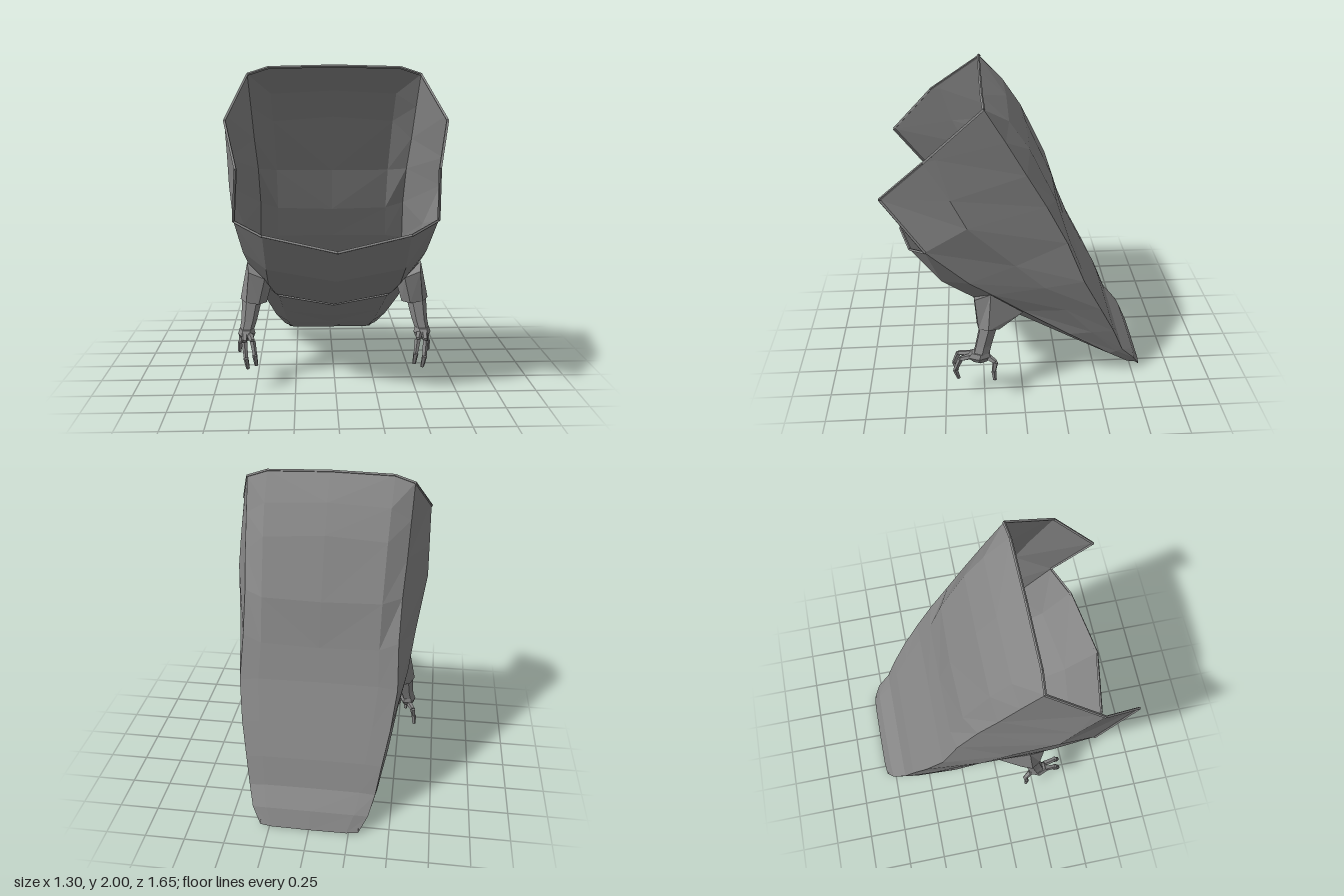
import * as THREE from 'three';

const material = new THREE.MeshStandardMaterial({ color: 0x858585, flatShading: true, side: THREE.DoubleSide });
const V = (x, y, z) => new THREE.Vector3(x, y, z);

function addMesh(parent, name, geometry) {
  const mesh = new THREE.Mesh(geometry, material);
  mesh.name = name;
  parent.add(mesh);
  return mesh;
}

// Faceted sheet through rows of [x, y, z] points; flip turns it over, capped closes both end rings
function loft(rows, { flip = false, capped = false } = {}) {
  const pos = [];
  const tri = (a, b, c) => (flip ? pos.push(...a, ...c, ...b) : pos.push(...a, ...b, ...c));
  for (let i = 0; i + 1 < rows.length; i++) {
    for (let j = 0; j + 1 < rows[i].length; j++) {
      const a = rows[i][j], b = rows[i][j + 1], c = rows[i + 1][j + 1], d = rows[i + 1][j];
      tri(a, d, b);
      tri(b, d, c);
    }
  }
  if (capped) {
    const first = rows[0], last = rows[rows.length - 1];
    for (let j = 1; j + 2 < first.length; j++) {
      tri(first[0], first[j], first[j + 1]);
      tri(last[0], last[j + 1], last[j]);
    }
  }
  const g = new THREE.BufferGeometry();
  g.setAttribute('position', new THREE.Float32BufferAttribute(pos, 3));
  g.computeVertexNormals();
  return g;
}

const mirror = ([x, y, z]) => [-x, y, z];

// Sheet symmetric about the middle, from half rows running from the centre outwards
function addMirrored(parent, name, halfRows, flip) {
  const group = new THREE.Group();
  group.name = name;
  addMesh(group, `${name}Left`, loft(halfRows, { flip }));
  addMesh(group, `${name}Right`, loft(halfRows.map((r) => r.map(mirror)), { flip: !flip }));
  parent.add(group);
}

// Tapered faceted rod between two points
function rod(parent, name, a, b, ra, rb, sides = 5) {
  const p = V(...a), q = V(...b), dir = q.clone().sub(p);
  const mesh = addMesh(parent, name, new THREE.CylinderGeometry(rb, ra, dir.length(), sides));
  mesh.position.copy(p).add(q).multiplyScalar(0.5);
  mesh.quaternion.setFromUnitVectors(V(0, 1, 0), dir.normalize());
}

// Spine line, crease between back and flank, flank bulge and flank edge, top to tail
const spine = [[0, 1.99, 0.23], [0, 1.84, 0.07], [0, 1.67, -0.05], [0, 1.3, -0.22], [0, 1.02, -0.3], [0, 0.82, -0.38],
  [0, 0.58, -0.5], [0, 0.38, -0.6], [0, 0.21, -0.67], [0, 0.11, -0.77], [0, 0, -0.82]];
const crease = [[0.53, 1.94, 0.22], [0.52, 1.74, 0.1], [0.51, 1.53, -0.02], [0.495, 1.32, -0.14], [0.49, 1.07, -0.27],
  [0.5, 0.8, -0.38], [0.47, 0.57, -0.5], [0.43, 0.37, -0.6], [0.4, 0.2, -0.67], [0.365, 0.1, -0.76], [0.31, 0.005, -0.81]];
const bulge = [[0.53, 1.94, 0.22], [0.622, 1.69, 0.49], [0.643, 1.45, 0.42], [0.645, 1.27, 0.33], [0.585, 0.98, 0.05],
  [0.555, 0.8, -0.13], [0.505, 0.6, -0.27], [0.46, 0.39, -0.45], [0.405, 0.19, -0.63], [0.355, 0.08, -0.74], [0.31, 0.02, -0.805]];
const edge = [[0.53, 1.94, 0.22], [0.64, 1.68, 0.56], [0.56, 1.43, 0.82], [0.6, 1.1, 0.58], [0.57, 0.86, 0.33],
  [0.55, 0.76, 0.19], [0.5, 0.6, 0], [0.47, 0.39, -0.3], [0.41, 0.18, -0.58], [0.345, 0.06, -0.72], [0.31, 0.03, -0.8]];

// Belly half sections: centre, corner, outer edge
const apron = [
  [[0, 0.95, 0.77], [0.43, 1.03, 0.68], edge[3]],
  [[0, 0.73, 0.57], [0.42, 0.79, 0.5], edge[4]],
  [[0, 0.57, 0.3], [0.42, 0.63, 0.25], edge[5]],
  [[0, 0.45, 0.1], [0.38, 0.51, 0.05], edge[6]],
  [[0, 0.5, 0.04], [0.38, 0.53, 0.03], edge[6]],
];
const lowerBelly = [
  [[0, 0.46, 0.03], [0.36, 0.505, 0.02], edge[6]],
  [[0, 0.43, 0.05], [0.36, 0.49, 0.03], edge[6]],
  [[0, 0.25, -0.3], [0.34, 0.29, -0.3], edge[7]],
  [[0, 0.11, -0.58], [0.32, 0.12, -0.58], edge[8]],
  [[0, 0.04, -0.72], [0.3, 0.045, -0.72], edge[9]],
  [[0, 0, -0.81], [0.28, 0, -0.81], edge[10]],
];

// Sleeve, forearm and hand as rings of [x, y, z]
const sleeveRings = [
  [[0.44, 0.68, 0.305], [0.54, 0.72, 0.3], [0.555, 0.765, 0.2], [0.51, 0.6, 0], [0.44, 0.56, 0.03], [0.41, 0.59, 0.17]],
  [[0.48, 0.51, 0.29], [0.56, 0.52, 0.28], [0.6, 0.53, 0.22], [0.57, 0.52, 0.15], [0.48, 0.5, 0.14], [0.435, 0.5, 0.2]],
];
const ring = (x, y, z, rx, rz) => Array.from({ length: 6 }, (_, i) => {
  const t = (i * Math.PI) / 3;
  return [x + rx * Math.cos(t), y, z + rz * Math.sin(t)];
});
const forearmRings = [ring(0.525, 0.54, 0.215, 0.065, 0.06), ring(0.545, 0.4, 0.25, 0.05, 0.055), ring(0.56, 0.34, 0.265, 0.045, 0.055)];
const handRings = [ring(0.56, 0.35, 0.27, 0.045, 0.065), ring(0.56, 0.32, 0.28, 0.055, 0.08), ring(0.56, 0.285, 0.275, 0.04, 0.05)];
const fingers = [
  [[0.535, 0.32, 0.33], [0.515, 0.31, 0.41], [0.5, 0.23, 0.44], [0.492, 0.16, 0.425]],
  [[0.57, 0.32, 0.33], [0.565, 0.3, 0.4], [0.555, 0.21, 0.435], [0.545, 0.135, 0.415]],
  [[0.575, 0.31, 0.22], [0.6, 0.29, 0.18], [0.61, 0.23, 0.19], [0.615, 0.165, 0.185]],
];

function makeArm(name, side) {
  const arm = new THREE.Group();
  arm.name = name;
  const at = ([x, y, z]) => [side * x, y, z];
  const solid = (rings) => loft(rings.map((r) => [...r, r[0]].map(at)), { flip: side < 0, capped: true });
  addMesh(arm, 'sleeve', solid(sleeveRings));
  addMesh(arm, 'forearm', solid(forearmRings));
  addMesh(arm, 'palm', solid(handRings));
  fingers.forEach((joints) => {
    for (let i = 0; i < 3; i++) {
      rod(arm, 'fingerSegment', at(joints[i]), at(joints[i + 1]), 0.021 - i * 0.002, 0.016 - i * 0.002);
    }
  });
  return arm;
}

export function createModel() {
  const model = new THREE.Group();
  model.name = 'hoodedShell';

  // Curved back with a softer middle facet on each side
  const backRows = spine.map((s, i) => {
    const c = crease[i];
    return [s, [c[0] * 0.76, s[1] * 0.8 + c[1] * 0.2, s[2] * 0.85 + c[2] * 0.15], c];
  });
  addMirrored(model, 'back', backRows, true);

  // Flanks
  addMirrored(model, 'flank', crease.map((c, i) => [c, bulge[i], edge[i]]), true);

  // Belly panels, with a slit between them
  addMirrored(model, 'frontApron', apron, false);
  addMirrored(model, 'lowerBelly', lowerBelly, false);

  // Thickened rim around the opening
  const rim = new THREE.Group();
  rim.name = 'rim';
  const rimPath = [...backRows[0], edge[1], edge[2], edge[3], apron[0][1], apron[0][0]];
  for (let i = 0; i + 1 < rimPath.length; i++) {
    rod(rim, 'rimSegment', rimPath[i], rimPath[i + 1], 0.009, 0.009, 4);
    rod(rim, 'rimSegment', mirror(rimPath[i]), mirror(rimPath[i + 1]), 0.009, 0.009, 4);
  }
  model.add(rim);

  model.add(makeArm('leftArm', 1), makeArm('rightArm', -1));
  return model;
}
